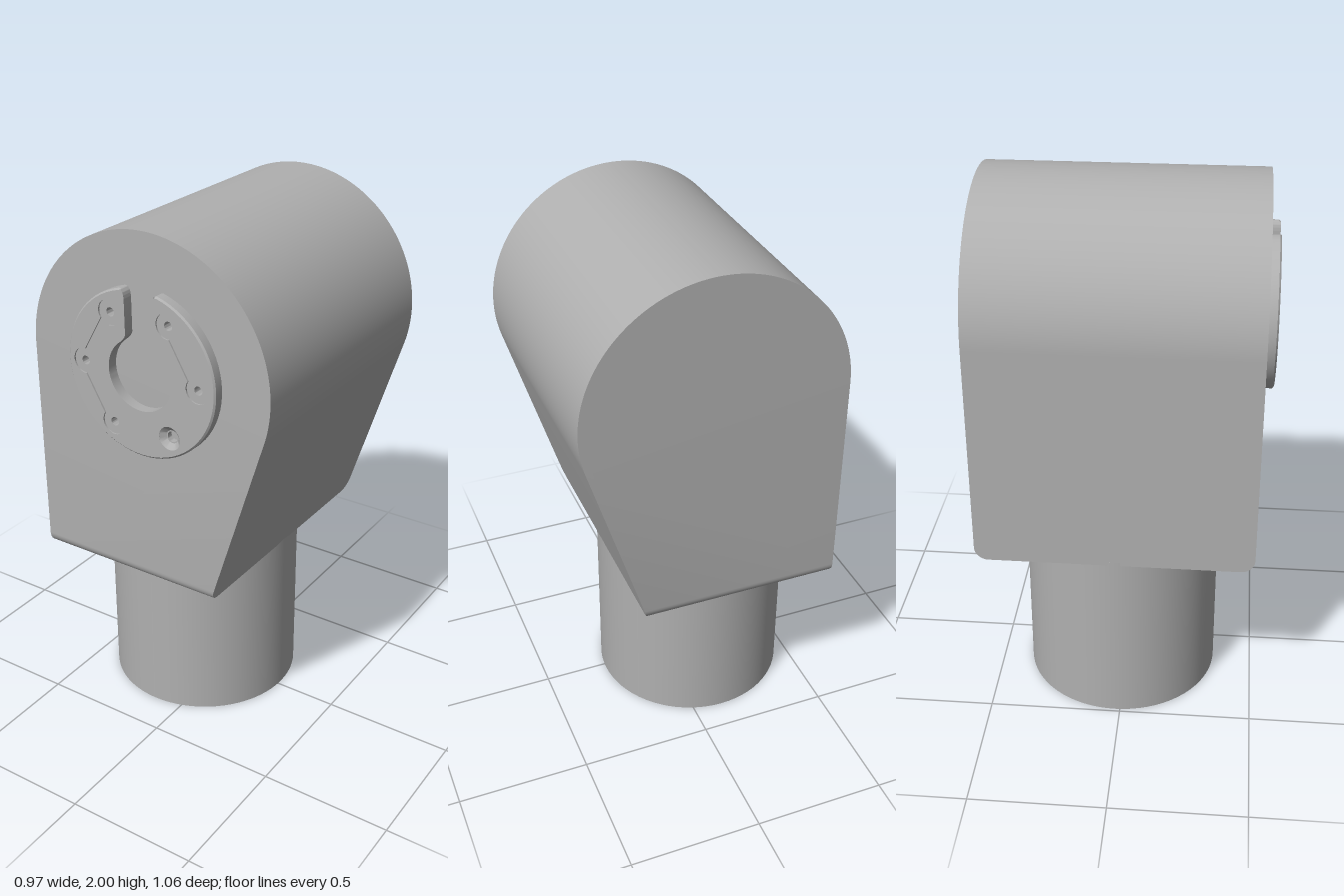
import * as THREE from 'three';
import { toCreasedNormals } from 'three/addons/utils/BufferGeometryUtils.js';

const AXIS_Y = 1.515;   // height of the round head's axis
const HEAD_R = 0.487;
const BACK = -0.53, FACE = 0.49, CLIP_FRONT = 0.53;

// Teardrop block: round head, one upright side, one slanted side, filleted lower edges
function bodyGeometry() {
  const bottom = 0.677, right = 0.25, fillet = 0.05, n = 8;
  const dx = right, dy = bottom - AXIS_Y;
  const tangent = Math.atan2(dy, dx) + Math.acos(HEAD_R / Math.hypot(dx, dy));
  const shape = new THREE.Shape();
  shape.moveTo(-HEAD_R, bottom);
  shape.lineTo(right, bottom);
  shape.absarc(0, AXIS_Y, HEAD_R, tangent, Math.PI, false);
  shape.closePath();

  const steps = 2 * n + 1;
  const geo = new THREE.ExtrudeGeometry(shape, { depth: 1, steps, bevelEnabled: false, curveSegments: 64 });
  const slope = (HEAD_R * Math.cos(tangent) - right) / (AXIS_Y + HEAD_R * Math.sin(tangent) - bottom);
  const pos = geo.attributes.position;
  for (let i = 0; i < pos.count; i++) {
    // Each extrusion layer becomes one station of the front or back fillet
    const layer = Math.round(pos.getZ(i) * steps);
    const k = Math.min(layer, steps - layer);
    const t = (k / n) * Math.PI / 2;
    const inset = fillet * (1 - Math.cos(t));
    pos.setZ(i, layer <= n ? BACK + inset : FACE - inset);
    if (pos.getY(i) < bottom + 0.001) {
      const lift = fillet * (1 - Math.sin(t));
      pos.setY(i, bottom + lift);
      if (pos.getX(i) > 0) pos.setX(i, right + slope * lift);
    }
  }
  return toCreasedNormals(geo, 0.5);
}

// Slotted ring outline, centred on the origin
function clipShape() {
  const deg = Math.PI / 180;
  const s = new THREE.Shape();
  s.absarc(0, 0, 0.303, 105 * deg, 435 * deg, false);
  s.quadraticCurveTo(0.055, 0.295, 0.055, 0.25);
  s.lineTo(0.055, 0.135);
  s.quadraticCurveTo(0.057, 0.118, 0.09, 0.094);
  s.absarc(0, 0, 0.13, 46.2 * deg, 133.8 * deg, true);
  s.quadraticCurveTo(-0.057, 0.118, -0.055, 0.135);
  s.lineTo(-0.055, 0.25);
  s.quadraticCurveTo(-0.055, 0.295, -0.0784, 0.2927);
  return s;
}

function circlePath(x, y, r) {
  return new THREE.Path().absarc(x, y, r, 0, Math.PI * 2, false);
}

// Outline of round pads joined by narrow necks, walked there and back
function linkedPads(nodes, r = 0.046, neck = 0.02) {
  const path = new THREE.Path();
  const walk = [...nodes, ...nodes.slice(1, -1).reverse()];
  const a = Math.asin(neck / r);
  const heading = (p, q) => Math.atan2(q[1] - p[1], q[0] - p[0]);
  walk.forEach((p, i) => {
    const prev = walk[(i + walk.length - 1) % walk.length];
    const next = walk[(i + 1) % walk.length];
    const start = heading(p, prev) + a;
    let end = heading(p, next) - a;
    while (end <= start) end += Math.PI * 2;
    while (end - start > Math.PI * 2) end -= Math.PI * 2;
    path.absarc(p[0], p[1], r, start, end, false);
  });
  path.closePath();
  return path;
}

export function createModel() {
  const group = new THREE.Group();
  const grey = new THREE.MeshStandardMaterial({ color: 0xb0b0b0 });
  grey.name = 'plain grey';
  const add = (name, geo, parent, x = 0, y = 0, z = 0) => {
    const mesh = new THREE.Mesh(geo, grey);
    mesh.name = name;
    mesh.position.set(x, y, z);
    parent.add(mesh);
    return mesh;
  };

  add('headBlock', bodyGeometry(), group);
  add('stem', new THREE.CylinderGeometry(0.37, 0.37, 0.69, 72), group, -0.118, 0.345, -0.02);

  // Slotted retaining ring on the front face
  const clip = new THREE.Group();
  clip.name = 'retainingRing';
  clip.position.set(0, AXIS_Y, 0);
  group.add(clip);

  const leftNodes = [[-0.118, 0.2], [-0.233, 0], [-0.118, -0.203]];
  const rightNodes = [[0.118, 0.2], [0.233, 0]];
  const screw = [0.117, -0.203];
  const step = 0.006;

  // Base layer with small blind holes, then a face layer with shallow recesses
  const base = clipShape();
  base.holes = [...leftNodes, ...rightNodes].map(([x, y]) => circlePath(x, y, 0.016));
  base.holes.push(circlePath(...screw, 0.043));
  const face = clipShape();
  face.holes = [linkedPads(leftNodes), linkedPads(rightNodes), circlePath(...screw, 0.043)];

  const layer = (shape, depth) =>
    new THREE.ExtrudeGeometry(shape, { depth, bevelEnabled: false, curveSegments: 32 });
  add('ringBase', toCreasedNormals(layer(base, CLIP_FRONT - step - FACE), 0.5), clip, 0, 0, FACE);

  const faceGeo = layer(face, step);
  const pos = faceGeo.attributes.position;
  for (let i = 0; i < pos.count; i++) {
    // Chamfer the outer rim
    const x = pos.getX(i), y = pos.getY(i);
    if (pos.getZ(i) > step / 2 && Math.hypot(x, y) > 0.298) {
      pos.setXY(i, x * 0.98, y * 0.98);
    }
  }
  add('ringFace', toCreasedNormals(faceGeo, 0.5), clip, 0, 0, CLIP_FRONT - step);

  // Countersunk hole wall, facing inward
  const wall = [[0.043, 0.04], [0.024, 0.022], [0.02, 0.022], [0.02, 0]];
  const sink = new THREE.LatheGeometry(wall.map(([r, h]) => new THREE.Vector2(r, h)), 32);
  sink.rotateX(Math.PI / 2);
  add('countersunkHole', toCreasedNormals(sink, 0.5), clip, screw[0], screw[1], FACE);

  return group;
}
